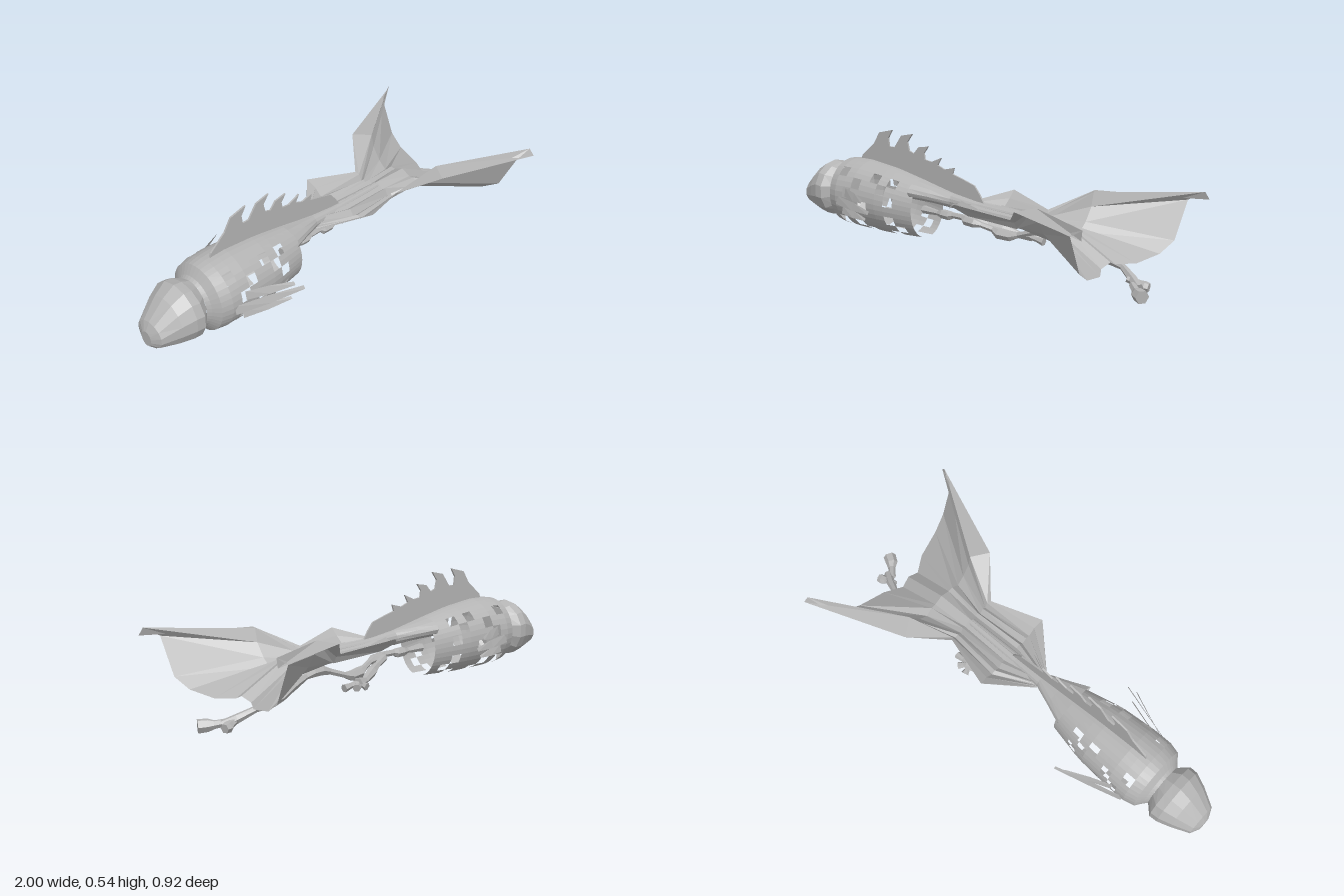
import * as THREE from 'three';

const hull = new THREE.MeshStandardMaterial({ color: 0xb4b4b4, side: THREE.DoubleSide, flatShading: true });
hull.name = 'hullGrey';

// Sheet through rows of [x, y, z] points; keep(i, j) decides which cells exist
function sheet(name, rows, keep = () => true) {
  const pos = [];
  for (let i = 0; i < rows.length - 1; i++) {
    for (let j = 0; j < rows[i].length - 1; j++) {
      if (!keep(i, j)) continue;
      const a = rows[i][j], b = rows[i + 1][j], c = rows[i + 1][j + 1], d = rows[i][j + 1];
      pos.push(...a, ...d, ...c, ...a, ...c, ...b);
    }
  }
  const g = new THREE.BufferGeometry();
  g.setAttribute('position', new THREE.Float32BufferAttribute(pos, 3));
  g.computeVertexNormals();
  const m = new THREE.Mesh(g, hull);
  m.name = name;
  return m;
}

// Elliptical ring across x: section is [x, top, bottom, halfWidth]
function ring([x, top, bottom, hw], n) {
  return Array.from({ length: n + 1 }, (_, k) => {
    const a = (k / n) * Math.PI * 2;
    return [x, (top + bottom) / 2 + Math.cos(a) * (top - bottom) / 2, Math.sin(a) * hw];
  });
}
const loft = (name, sections, n, keep) => sheet(name, sections.map(s => ring(s, n)), keep);

// Linear lookup of a section at x
function sectionAt(table, x) {
  let i = 0;
  while (i < table.length - 2 && x > table[i + 1][0]) i++;
  const a = table[i], b = table[i + 1], t = (x - a[0]) / (b[0] - a[0]);
  return a.map((v, k) => v + (b[k] - v) * t);
}

// Lumpy limb along a path of [x, y, z, radius]
function limb(name, pts) {
  const rows = pts.map(([x, y, z, r], i) => {
    const p = pts[Math.max(i - 1, 0)], q = pts[Math.min(i + 1, pts.length - 1)];
    const dir = new THREE.Vector3(q[0] - p[0], q[1] - p[1], q[2] - p[2]).normalize();
    const side = new THREE.Vector3(0, 1, 0).cross(dir).normalize();
    const up = dir.clone().cross(side);
    return Array.from({ length: 7 }, (_, k) => {
      const a = k / 6 * Math.PI * 2;
      return new THREE.Vector3(x, y, z).addScaledVector(side, Math.cos(a) * r)
        .addScaledVector(up, Math.sin(a) * r).toArray();
    });
  });
  const cap = i => rows[i].map(() => pts[i].slice(0, 3));
  return sheet(name, [cap(0), ...rows, cap(pts.length - 1)]);
}

export function createModel() {
  const model = new THREE.Group();
  model.name = 'finnedCraft';

  // Blunt head
  model.add(loft('head', [
    [-1, 0.165, 0.165, 0], [-1, 0.2, 0.13, 0.03], [-0.98, 0.24, 0.115, 0.075],
    [-0.9, 0.315, 0.09, 0.115], [-0.84, 0.35, 0.08, 0.138], [-0.8, 0.343, 0.08, 0.14],
    [-0.76, 0.325, 0.105, 0.1], [-0.755, 0.21, 0.21, 0],
  ], 14));

  // Collar behind the head, open along the keel
  const shellTable = [
    [-0.72, 0.375, 0.06, 0.15], [-0.67, 0.382, 0.055, 0.163], [-0.58, 0.385, 0.052, 0.163],
    [-0.4, 0.365, 0.052, 0.15], [-0.22, 0.33, 0.06, 0.11],
  ];
  model.add(loft('collar', [[-0.76, 0.325, 0.105, 0.1], [-0.745, 0.335, 0.095, 0.115], shellTable[0]], 40,
    (i, j) => Math.abs(j - 19.5) > 2));

  // Plated shell with missing plates, mirrored about the open keel
  const plates = [
    '1111111111', '1111111111', '1011101011', '1110110111', '1101111011',
    '1111011111', '1101111011', '1010111101', '1011011011', '0000000000',
  ];
  const shell = Array.from({ length: 11 }, (_, i) => sectionAt(shellTable, -0.72 + i * 0.05));
  model.add(loft('platedShell', shell, 40, (i, j) => plates[Math.floor((j < 20 ? j : 39 - j) / 2)][i] === '1'));

  // Tapering back that runs into the tail
  model.add(loft('taperedBack', [
    [-0.24, 0.334, 0.24, 0.112], [-0.15, 0.315, 0.235, 0.075], [-0.05, 0.295, 0.225, 0.036],
    [0.1, 0.275, 0.23, 0.026], [0.38, 0.262, 0.228, 0.018],
  ], 16));

  // Flared gill strips on both flanks
  const strips = [
    [0.265, 0.225, -0.6, -0.4, 0.245], [0.22, 0.18, -0.66, -0.35, 0.252], [0.175, 0.14, -0.62, -0.4, 0.225],
  ];
  for (const s of [1, -1]) {
    strips.forEach(([y1, y0, x0, x1, z1]) => model.add(sheet('gillStrip', [
      [[x0, y1, s * 0.158], [x0, y0, s * 0.166]],
      [[(x0 + x1) / 2, y1 - 0.004, s * (z1 + 0.148) / 2], [(x0 + x1) / 2, y0, s * (z1 + 0.172) / 2]],
      [[x1, y1 - 0.015, s * (z1 - 0.004)], [x1, y0 + 0.01, s * (z1 + 0.004)]],
    ])));
  }

  // Spiked dorsal fin
  const outline = [
    [-0.65, 0.375], [-0.64, 0.4], [-0.56, 0.465], [-0.525, 0.52], [-0.44, 0.54], [-0.465, 0.5], [-0.46, 0.46],
    [-0.425, 0.46], [-0.38, 0.52], [-0.31, 0.535], [-0.34, 0.495], [-0.33, 0.455], [-0.3, 0.445], [-0.27, 0.478],
    [-0.21, 0.488], [-0.235, 0.455], [-0.23, 0.425], [-0.19, 0.42], [-0.13, 0.445], [-0.15, 0.41], [-0.11, 0.395],
    [-0.05, 0.41], [-0.06, 0.38], [0, 0.365], [0.07, 0.345], [0.1, 0.31], [0.13, 0.265], [0, 0.28], [-0.2, 0.32], [-0.4, 0.355],
  ];
  const finGeo = new THREE.ExtrudeGeometry(
    new THREE.Shape(outline.map(p => new THREE.Vector2(...p))), { depth: 0.008, bevelEnabled: false });
  finGeo.translate(0, 0, -0.004);
  const fin = new THREE.Mesh(finGeo, hull);
  fin.name = 'dorsalFin';
  model.add(fin);

  // Pleated tail fan, centre to outer edge
  const tail = [
    [[-0.05, 0.29, 0], [-0.05, 0.28, 0.01], [-0.05, 0.27, 0.016], [-0.05, 0.26, 0.021],
      [-0.05, 0.25, 0.025], [-0.05, 0.24, 0.029], [-0.05, 0.235, 0.032], [-0.05, 0.228, 0.035]],
    [[0.14, 0.275, 0], [0.14, 0.248, 0.04], [0.14, 0.26, 0.06], [0.14, 0.228, 0.08],
      [0.14, 0.25, 0.105], [0.14, 0.24, 0.125], [0.14, 0.272, 0.16], [0.13, 0.303, 0.205]],
    [[0.39, 0.262, 0], [0.39, 0.235, 0.035], [0.39, 0.248, 0.05], [0.39, 0.212, 0.065],
      [0.39, 0.235, 0.085], [0.39, 0.22, 0.1], [0.39, 0.25, 0.115], [0.38, 0.262, 0.13]],
    [[0.57, 0.252, 0], [0.57, 0.23, 0.045], [0.57, 0.232, 0.07], [0.57, 0.2, 0.105],
      [0.57, 0.235, 0.145], [0.57, 0.295, 0.185], [0.57, 0.355, 0.2], [0.52, 0.345, 0.28]],
    [[0.8, 0.13, 0], [0.79, 0.11, 0.05], [0.84, 0.105, 0.13], [0.87, 0.125, 0.26],
      [0.89, 0.17, 0.34], [0.9, 0.335, 0.42], [0.97, 0.375, 0.44], [0.98, 0.34, 0.46]],
  ];
  for (const s of [1, -1]) {
    model.add(sheet('tailFan', tail.map(r => r.map(([x, y, z]) => [x, y, s * z]))));
  }

  // Long trailing limb with knuckles, and its toes
  model.add(limb('trailingLimb', [
    [-0.24, 0.19, 0, 0.02], [-0.15, 0.187, 0, 0.012], [-0.12, 0.187, 0, 0.022], [-0.08, 0.185, 0, 0.022],
    [-0.06, 0.19, 0, 0.014], [0, 0.19, 0, 0.014], [0.02, 0.18, 0, 0.024], [0.07, 0.175, 0, 0.022],
    [0.1, 0.17, -0.01, 0.013], [0.15, 0.155, -0.03, 0.014], [0.18, 0.14, -0.035, 0.026], [0.24, 0.135, -0.045, 0.024],
    [0.28, 0.145, -0.05, 0.014], [0.37, 0.175, -0.05, 0.015], [0.42, 0.188, -0.05, 0.024], [0.47, 0.186, -0.055, 0.022],
    [0.51, 0.175, -0.06, 0.013], [0.58, 0.16, -0.07, 0.025], [0.63, 0.14, -0.08, 0.024], [0.67, 0.12, -0.095, 0.018],
    [0.72, 0.11, -0.1, 0.022], [0.8, 0.092, -0.09, 0.014], [0.87, 0.06, -0.06, 0.02], [0.92, 0.038, -0.03, 0.02],
  ]));
  model.add(limb('longToe', [
    [0.89, 0.045, -0.03, 0.016], [0.93, 0.035, 0.005, 0.018], [0.95, 0.032, 0.025, 0.028], [0.985, 0.03, 0.045, 0.03],
  ]));
  model.add(limb('sideToe', [[0.85, 0.06, -0.05, 0.015], [0.9, 0.045, -0.062, 0.017], [0.92, 0.036, -0.068, 0.024], [0.94, 0.034, -0.073, 0.02]]));

  // Shorter limb and its claws
  model.add(limb('shortLimb', [
    [0.02, 0.18, -0.02, 0.018], [0.1, 0.165, -0.06, 0.014], [0.16, 0.15, -0.09, 0.024],
    [0.23, 0.125, -0.12, 0.016], [0.29, 0.125, -0.14, 0.024],
  ]));
  for (const [x, z] of [[0.27, -0.175], [0.32, -0.165], [0.36, -0.13]]) {
    model.add(limb('claw', [[0.28, 0.125, -0.13, 0.014], [(0.28 + x) / 2, 0.118, (z - 0.13) / 2, 0.012], [x, 0.112, z, 0.018]]));
  }
  return model;
}
